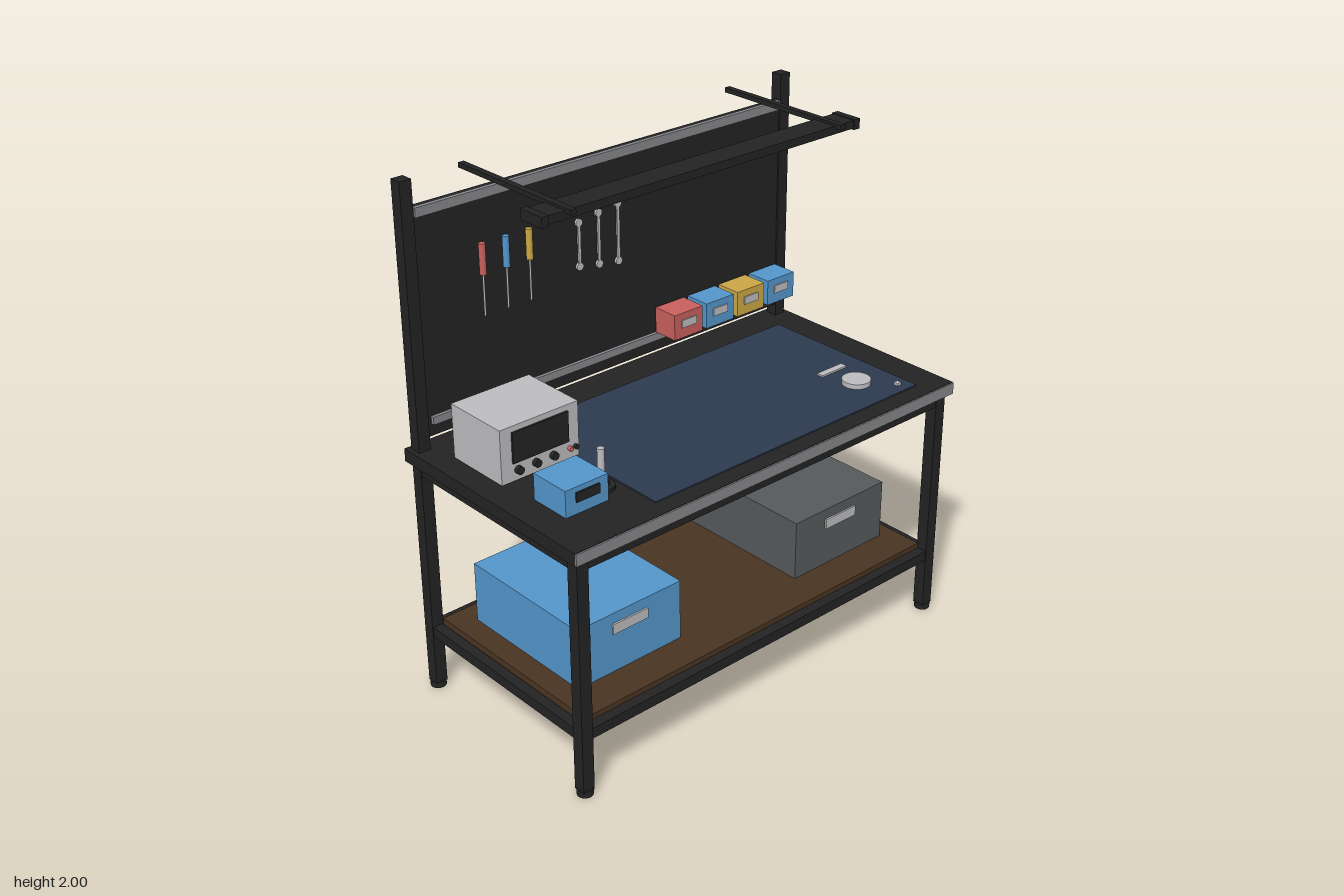
import * as THREE from 'three';

const mat = (name, color) => {
  const m = new THREE.MeshStandardMaterial({ color });
  m.name = name;
  return m;
};

export function createModel() {
  const model = new THREE.Group();
  model.name = 'workbench';

  const black = mat('black', 0x232323);
  const silver = mat('silver', 0xbdbdc0);
  const aluminium = mat('aluminium', 0x86878b);
  const slate = mat('slate', 0x565a5c);
  const blue = mat('blue', 0x5496cb);
  const red = mat('red', 0xc8605c);
  const yellow = mat('yellow', 0xcba846);
  const navy = mat('navy', 0x2d3b4f);
  const brown = mat('brown', 0x4a3422);

  const add = (name, geometry, material, x, y, z, parent = model) => {
    const mesh = new THREE.Mesh(geometry, material);
    mesh.name = name;
    mesh.position.set(x, y, z);
    parent.add(mesh);
    return mesh;
  };
  // Box given by its limits on each axis
  const box = (name, material, [x0, x1], [y0, y1], [z0, z1], parent) =>
    add(name, new THREE.BoxGeometry(x1 - x0, y1 - y0, z1 - z0), material,
      (x0 + x1) / 2, (y0 + y1) / 2, (z0 + z1) / 2, parent);
  // Upright cylinder from y0 to y1
  const rod = (name, material, r, x, [y0, y1], z, parent, sides = 20) =>
    add(name, new THREE.CylinderGeometry(r, r, y1 - y0, sides), material, x, (y0 + y1) / 2, z, parent);
  // Short cylinder facing +z
  const dial = (name, material, r, depth, x, y, z, parent) => {
    const m = add(name, new THREE.CylinderGeometry(r, r, depth, 20), material, x, y, z, parent);
    m.rotation.x = Math.PI / 2;
    return m;
  };
  const group = (name) => {
    const g = new THREE.Group();
    g.name = name;
    model.add(g);
    return g;
  };

  // Legs, feet and rails; the back legs continue up as posts
  const frame = group('frame');
  for (const s of [-1, 1]) {
    const legX = [s * 0.87 - 0.024, s * 0.87 + 0.024];
    box('frontLeg', black, legX, [0.02, 0.95], [0.405, 0.453], frame);
    box('backPost', black, legX, [0.02, 2], [-0.458, -0.41], frame);
    for (const z of [0.43, -0.434]) rod('foot', black, 0.03, s * 0.87, [0, 0.026], z, frame);
    for (const y of [0.23, 0.907]) {
      box('sideRail', black, [s * 0.87 - 0.02, s * 0.87 + 0.02], [y, y + 0.042], [-0.41, 0.405], frame);
      const z = s > 0 ? 0.43 : -0.434;
      box('longRail', black, [-0.846, 0.846], [y, y + 0.042], [z - 0.02, z + 0.02], frame);
    }
  }

  // Worktop, front edging, mat and lower shelf
  box('worktop', black, [-0.912, 0.912], [0.95, 1], [-0.476, 0.47]);
  box('frontEdging', aluminium, [-0.912, 0.912], [0.953, 0.998], [0.47, 0.476]);
  box('workMat', navy, [-0.51, 0.785], [1, 1.005], [-0.33, 0.4]);
  box('lowerShelf', brown, [-0.845, 0.845], [0.262, 0.293], [-0.41, 0.41]);

  // Back panel with its two hanging rails
  box('backPanel', black, [-0.847, 0.847], [1.045, 1.9], [-0.437, -0.417]);
  box('topRail', aluminium, [-0.845, 0.84], [1.865, 1.9], [-0.417, -0.403]);
  box('binRail', aluminium, [-0.83, 0.83], [1.092, 1.122], [-0.417, -0.403]);

  // Overhead lamp on two arms
  const lamp = group('overheadLamp');
  for (const x of [-0.613, 0.611]) box('lampArm', black, [x - 0.012, x + 0.012], [1.973, 1.991], [-0.458, 0.14], lamp);
  box('lampBody', black, [-0.7, 0.7], [1.952, 1.982], [0.01, 0.112], lamp);
  for (const s of [-1, 1]) box('lampEnd', black, [s * 0.708 - 0.014, s * 0.708 + 0.014], [1.947, 1.985], [0.006, 0.116], lamp);
  box('lampDiffuser', silver, [-0.69, 0.69], [1.947, 1.952], [0.025, 0.097], lamp);

  // Storage boxes on the shelf
  for (const [x, material] of [[-0.52, blue], [0.54, slate]]) {
    const g = group('storageBox');
    box('boxBody', material, [x - 0.237, x + 0.237], [0.293, 0.535], [-0.318, 0.268], g);
    box('boxLabel', silver, [x - 0.08, x + 0.08], [0.452, 0.493], [0.268, 0.275], g);
  }

  // Small parts bins hung on the panel
  [red, blue, yellow, blue].forEach((material, i) => {
    const x = 0.271 + i * 0.1625;
    const g = group('partsBin');
    box('binBody', material, [x - 0.071, x + 0.071], [1.128, 1.23], [-0.405, -0.297], g);
    box('binLabel', silver, [x - 0.037, x + 0.037], [1.17, 1.202], [-0.297, -0.292], g);
  });

  // Screwdrivers
  [red, blue, yellow].forEach((material, i) => {
    const x = -0.59 + i * 0.101;
    const g = group('screwdriver');
    rod('handle', material, 0.0125, x, [1.595, 1.71], -0.397, g, 16);
    rod('shaft', silver, 0.004, x, [1.44, 1.6], -0.397, g, 10);
  });

  // Wrenches of growing length
  [[1.5, 1.668], [1.485, 1.683], [1.472, 1.695]].forEach(([y0, y1], i) => {
    const x = -0.161 + i * 0.091;
    const g = group('wrench');
    box('wrenchShank', silver, [x - 0.006, x + 0.006], [y0, y1], [-0.407, -0.4], g);
    for (const y of [y0, y1]) dial('wrenchHead', silver, 0.015, 0.01, x, y, -0.404, g);
  });

  // Measuring instrument with screen, knobs and sockets
  const scope = group('oscilloscope');
  box('scopeBody', silver, [-0.825, -0.49], [1.005, 1.215], [-0.297, -0.025], scope);
  for (const x of [-0.8, -0.515]) for (const z of [-0.27, -0.05]) rod('scopeFoot', black, 0.015, x, [1, 1.006], z, scope, 12);
  box('scopeScreen', black, [-0.778, -0.538], [1.075, 1.193], [-0.025, -0.017], scope);
  for (const x of [-0.755, -0.68, -0.605]) dial('scopeKnob', black, 0.015, 0.018, x, 1.045, -0.016, scope);
  dial('redSocket', red, 0.009, 0.014, -0.532, 1.045, -0.018, scope);
  dial('blackSocket', black, 0.009, 0.014, -0.507, 1.045, -0.018, scope);

  // Soldering station and iron stand
  const station = group('solderingStation');
  box('stationBody', blue, [-0.795, -0.613], [1, 1.102], [0.112, 0.28], station);
  box('stationDisplay', black, [-0.752, -0.652], [1.045, 1.082], [0.28, 0.286], station);
  rod('standBase', black, 0.048, -0.577, [1, 1.014], 0.2, station, 28);
  rod('standCollar', black, 0.028, -0.577, [1.014, 1.032], 0.2, station);
  rod('ironHolder', silver, 0.013, -0.577, [1.032, 1.152], 0.2, station);

  // Loose items on the mat
  rod('partsDish', silver, 0.055, 0.63, [1.005, 1.024], 0.24, model, 28);
  box('steelRule', silver, [0.57, 0.7], [1.005, 1.012], [0.095, 0.123]);
  box('smallPart', silver, [0.724, 0.744], [1.005, 1.015], [0.343, 0.363]);

  return model;
}
